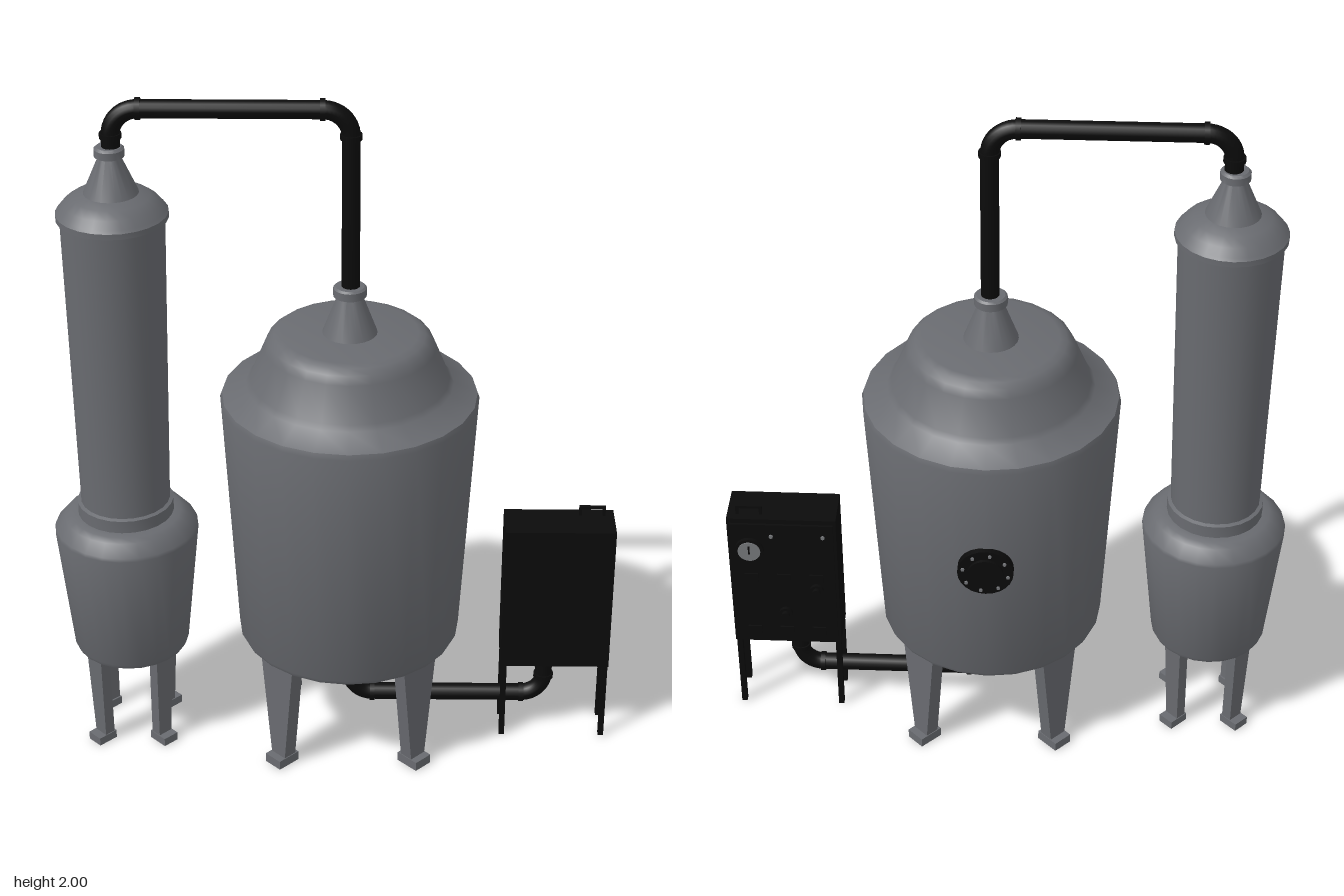
import * as THREE from 'three';
import { toCreasedNormals } from 'three/addons/utils/BufferGeometryUtils.js';

const mat = (name, color) => {
  const m = new THREE.MeshStandardMaterial({ color });
  m.name = name;
  return m;
};

export function createModel() {
  const steel = mat('steel grey', 0x696b70);
  const black = mat('black', 0x0b0b0b);
  const dial = mat('dial grey', 0x77797c);
  const root = new THREE.Group();
  root.name = 'distillery';

  const add = (parent, name, geo, material, x = 0, y = 0, z = 0) => {
    const m = new THREE.Mesh(geo, material);
    m.name = name;
    m.position.set(x, y, z);
    parent.add(m);
    return m;
  };
  const group = (name, x = 0) => {
    const g = new THREE.Group();
    g.name = name;
    g.position.x = x;
    root.add(g);
    return g;
  };
  const box = (w, h, d) => new THREE.BoxGeometry(w, h, d);
  // Disc or rod lying along z
  const disc = (r, depth, sides = 24) => new THREE.CylinderGeometry(r, r, depth, sides).rotateX(Math.PI / 2);
  // Turned part from [radius, height] pairs, bottom to top
  const turned = (pts, sides = 24) => toCreasedNormals(
    new THREE.LatheGeometry(pts.map(([r, y]) => new THREE.Vector2(r, y)), sides), 0.55);

  // Four tapered legs on the diagonals, each with a foot pointing outward
  function addLegs(parent, { top, bottom, rTop, rBottom, wTop, wBottom, depth, foot }) {
    for (let i = 0; i < 4; i++) {
      const leg = new THREE.Group();
      leg.name = 'leg';
      leg.rotation.y = Math.PI / 4 + i * Math.PI / 2;
      const geo = box(1, top - bottom, depth);
      const p = geo.attributes.position;
      for (let k = 0; k < p.count; k++) {
        const up = p.getY(k) > 0;
        p.setX(k, p.getX(k) * (up ? wTop : wBottom));
        p.setZ(k, p.getZ(k) + (up ? rTop : rBottom));
      }
      geo.computeVertexNormals();
      add(leg, 'legPost', geo, steel, 0, (top + bottom) / 2, 0);
      add(leg, 'foot', box(foot.w, bottom, foot.d), steel, 0, bottom / 2, foot.r);
      parent.add(leg);
    }
  }

  // Pipe in the xy plane through corner points, with rounded bends and joint collars
  function addPipe(name, pts, bend, r, collarR) {
    const g = group(name);
    const v = pts.map(([x, y]) => new THREE.Vector3(x, y, 0));
    const path = new THREE.CurvePath();
    let from = v[0];
    for (let i = 1; i < v.length - 1; i++) {
      const a = v[i].clone().add(v[i - 1].clone().sub(v[i]).setLength(bend));
      const b = v[i].clone().add(v[i + 1].clone().sub(v[i]).setLength(bend));
      path.add(new THREE.LineCurve3(from, a));
      const k = 0.552;
      path.add(new THREE.CubicBezierCurve3(a, a.clone().lerp(v[i], k), b.clone().lerp(v[i], k), b));
      for (const [end, other] of [[a, v[i - 1]], [b, v[i + 1]]]) {
        const c = add(g, 'pipeJoint', new THREE.CylinderGeometry(collarR, collarR, 0.014, 16), black, end.x, end.y);
        if (Math.abs(other.y - end.y) < 0.001) c.rotation.z = Math.PI / 2;
      }
      from = b;
    }
    path.add(new THREE.LineCurve3(from, v[v.length - 1]));
    add(g, 'pipe', new THREE.TubeGeometry(path, 110, r, 14, false), black);
    return g;
  }

  // Main boiler tank
  const boiler = group('boiler', 0.04);
  add(boiler, 'boilerTank', turned([
    [0, 0.24], [0.03, 0.24], [0.12, 0.272], [0.21, 0.312], [0.27, 0.355], [0.275, 0.375],
    [0.295, 0.375], [0.298, 0.355], [0.312, 0.355], [0.32, 0.37],
    [0.362, 1.115], [0.357, 1.13], [0.29, 1.163], [0.278, 1.178], [0.238, 1.275],
    [0.227, 1.298], [0.21, 1.312], [0.19, 1.318], [0, 1.318],
  ]), steel);
  add(boiler, 'boilerNeck', turned([
    [0.077, 1.316], [0.036, 1.425], [0.046, 1.43], [0.046, 1.453], [0.04, 1.458], [0, 1.458],
  ]), steel);
  addLegs(boiler, {
    top: 0.38, bottom: 0.028, rTop: 0.27, rBottom: 0.268, wTop: 0.135, wBottom: 0.055,
    depth: 0.042, foot: { w: 0.06, d: 0.075, r: 0.274 },
  });

  // Round bolted hatch on the back of the boiler
  const hatch = new THREE.Group();
  hatch.name = 'hatch';
  hatch.position.set(0, 0.775, -0.345);
  hatch.rotation.x = -0.056;
  boiler.add(hatch);
  add(hatch, 'hatchPlate', disc(0.078, 0.024), black);
  add(hatch, 'hatchCover', disc(0.05, 0.012), black, 0, 0, -0.015);
  for (let i = 0; i < 8; i++) {
    const a = i * Math.PI / 4 + 0.2;
    add(hatch, 'hatchBolt', disc(0.005, 0.006, 8), dial, 0.064 * Math.cos(a), 0.064 * Math.sin(a), -0.014);
  }

  // Condenser tower
  const tower = group('tower', -0.6);
  add(tower, 'towerBase', turned([
    [0, 0.293], [0.145, 0.293], [0.16, 0.298], [0.167, 0.312], [0.206, 0.69], [0.203, 0.7],
    [0.175, 0.732], [0.158, 0.742], [0.137, 0.745], [0.137, 0.782], [0.127, 0.786],
  ]), steel);
  add(tower, 'towerColumn', turned([[0.127, 0.78], [0.143, 1.66]]), steel);
  add(tower, 'towerCap', turned([
    [0.14, 1.657], [0.153, 1.66], [0.153, 1.676], [0.146, 1.684], [0.13, 1.704], [0.105, 1.722],
    [0.075, 1.732], [0.031, 1.833], [0.041, 1.837], [0.041, 1.858], [0.034, 1.864], [0, 1.864],
  ]), steel);
  addLegs(tower, {
    top: 0.31, bottom: 0.025, rTop: 0.13, rBottom: 0.119, wTop: 0.062, wBottom: 0.045,
    depth: 0.033, foot: { w: 0.05, d: 0.063, r: 0.129 },
  });

  // Pipes
  addPipe('vapourPipe', [[-0.595, 1.85], [-0.595, 1.97], [0.042, 1.97], [0.042, 1.45]], 0.075, 0.0255, 0.03);
  const feed = addPipe('feedPipe', [[0.045, 0.25], [0.045, 0.115], [0.618, 0.115], [0.618, 0.26]], 0.065, 0.025, 0.029);
  for (const x of [0.045, 0.618]) {
    add(feed, 'pipeFlange', new THREE.CylinderGeometry(0.03, 0.03, 0.02, 16), black, x, 0.238);
  }

  // Control cabinet
  const cabinet = group('controlCabinet', 0.645);
  add(cabinet, 'cabinetBody', box(0.316, 0.46, 0.13), black, 0, 0.48, -0.003);
  add(cabinet, 'cabinetPanel', box(0.3, 0.43, 0.008), black, 0, 0.48, -0.071);
  for (const x of [-0.148, 0.148]) for (const z of [-0.053, 0.049]) {
    add(cabinet, 'cabinetLeg', box(0.016, 0.26, 0.018), black, x, 0.13, z);
  }
  // Handle on top
  add(cabinet, 'handleBar', box(0.076, 0.008, 0.01), black, 0.095, 0.735, -0.04);
  for (const s of [-1, 1]) add(cabinet, 'handlePost', box(0.008, 0.03, 0.01), black, 0.095 + s * 0.034, 0.722, -0.04);
  // Gauge, knobs, buttons and lamps on the back
  add(cabinet, 'gaugeRim', disc(0.042, 0.014), black, 0.095, 0.605, -0.079);
  add(cabinet, 'gaugeFace', disc(0.033, 0.004), dial, 0.095, 0.605, -0.087);
  add(cabinet, 'gaugeNeedle', box(0.005, 0.028, 0.002), black, 0.095, 0.612, -0.0895);
  for (const [x, y] of [[-0.095, 0.46], [0, 0.37]]) {
    add(cabinet, 'knobBase', disc(0.02, 0.012, 16), black, x, y, -0.08);
    add(cabinet, 'knob', disc(0.012, 0.022, 16), black, x, y, -0.086);
  }
  for (const x of [-0.095, 0, 0.095]) for (const y of [0.3, 0.5]) {
    add(cabinet, 'button', box(0.04, 0.03, 0.006), black, x, y, -0.077);
  }
  for (const x of [-0.12, 0.03]) add(cabinet, 'lamp', disc(0.006, 0.006, 8), dial, x, 0.655, -0.077);

  return root;
}
